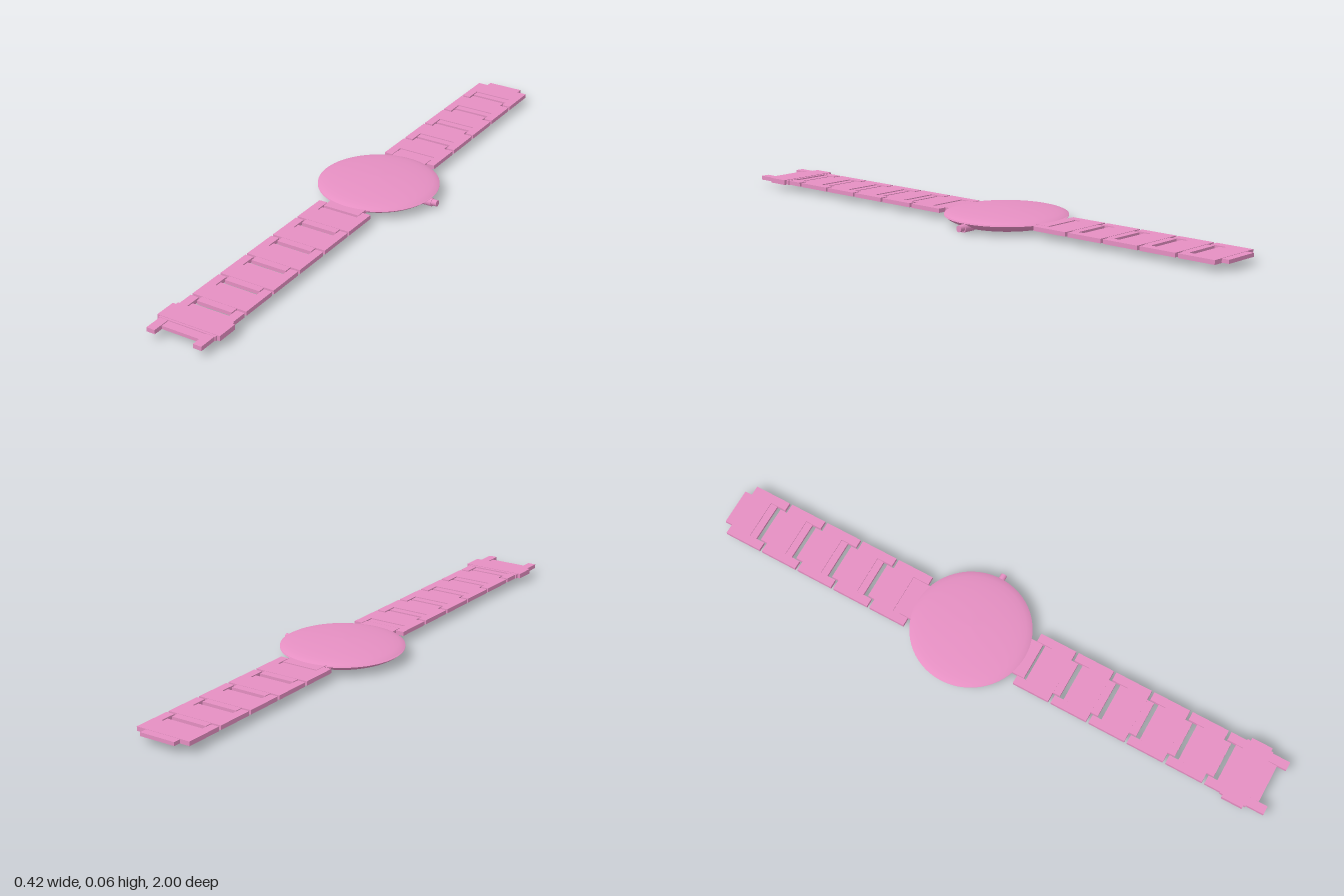
import * as THREE from 'three';

const CX = -0.011; // strap and case centre line
const CZ = -0.1;   // case centre
const PITCH = 0.1372;

const pink = new THREE.MeshStandardMaterial({ color: 0xe58fc2 });
const pinkThin = new THREE.MeshStandardMaterial({ color: 0xe58fc2, side: THREE.DoubleSide });

function add(parent, name, geometry, material = pink) {
  const mesh = new THREE.Mesh(geometry, material);
  mesh.name = name;
  parent.add(mesh);
  return mesh;
}

// Box given by its limits
function block(parent, name, x0, x1, y0, y1, z0, z1) {
  const mesh = add(parent, name, new THREE.BoxGeometry(x1 - x0, y1 - y0, z1 - z0));
  mesh.position.set((x0 + x1) / 2, (y0 + y1) / 2, (z0 + z1) / 2);
  return mesh;
}

function lathe(parent, name, points) {
  return add(parent, name,
    new THREE.LatheGeometry(points.map(([r, y]) => new THREE.Vector2(r, y)), 64), pinkThin);
}

// A link: arms at z = 0 (towards the case), body, then a tongue reaching outward
function makeLink(name, bodyEnd = 0.128, half = 0.096, top = 0.036) {
  const link = new THREE.Group();
  link.name = name;
  block(link, 'linkBody', -half, half, 0.022, top, 0.055, bodyEnd);
  for (const s of [-1, 1]) {
    const arm = block(link, 'linkArm', -0.0145, 0.0145, 0.022, 0.036, 0, 0.056);
    arm.position.x = s * 0.0815;
  }
  block(link, 'linkSlotBar', -0.066, 0.066, 0.023, 0.033, 0.031, 0.056);
  return link;
}

function makeCase() {
  const watchCase = new THREE.Group();
  watchCase.name = 'watchCase';
  watchCase.position.set(CX, 0, CZ);

  // Rounded back shell with a flat dial
  lathe(watchCase, 'caseBack', [
    [0, 0], [0.08, 0.001], [0.13, 0.003], [0.155, 0.008],
    [0.175, 0.016], [0.19, 0.024], [0.2, 0.032]]);
  lathe(watchCase, 'dial', [[0.2, 0.032], [0.198, 0.034], [0.1, 0.034], [0, 0.034]]);

  // Shallow domed glass
  lathe(watchCase, 'glass', [
    [0.2, 0.037], [0.192, 0.041], [0.18, 0.0443], [0.16, 0.0478],
    [0.13, 0.051], [0.095, 0.0537], [0.05, 0.056], [0, 0.057]]);

  // Strap lugs
  for (const s of [-1, 1]) {
    const lug = block(watchCase, 'strapLug', -0.065, 0.065, 0.024, 0.036, -0.025, 0.025);
    lug.position.z = s * 0.206;
  }

  // Winding crown on its stem tube
  const stem = add(watchCase, 'crownStem', new THREE.CylinderGeometry(0.0135, 0.0135, 0.044, 24));
  stem.position.set(0.182, 0.0175, 0);
  const crown = add(watchCase, 'crown', new THREE.CylinderGeometry(0.0105, 0.0105, 0.022, 24));
  crown.position.set(0.211, 0.0185, 0);
  stem.rotation.z = crown.rotation.z = Math.PI / 2;
  return watchCase;
}

function makeStrap(name, count) {
  const strap = new THREE.Group();
  strap.name = name;
  for (let i = 0; i < count; i++) {
    const link = makeLink('link');
    block(link, 'linkTongue', -0.062, 0.062, 0.023, 0.035, 0.127, 0.153);
    link.position.z = i * PITCH;
    strap.add(link);
  }
  return strap;
}

export function createModel() {
  const model = new THREE.Group();
  model.name = 'wristwatch';
  model.add(makeCase());

  // Front strap ends in a wider clasp
  const front = makeStrap('frontStrap', 5);
  front.position.set(CX, 0, 0.108);
  const clasp = makeLink('clasp', 0.145, 0.1, 0.037);
  clasp.position.z = 5 * PITCH;
  block(clasp, 'claspPlate', -0.11, 0.11, 0.0215, 0.0385, 0.066, 0.138);
  block(clasp, 'claspBar', -0.066, 0.066, 0.023, 0.034, 0.144, 0.175);
  for (const s of [-1, 1]) {
    const arm = block(clasp, 'claspArm', -0.0145, 0.0145, 0.022, 0.036, 0.144, 0.206);
    arm.position.x = s * 0.0815;
  }
  front.add(clasp);

  // Back strap runs the other way
  const back = makeStrap('backStrap', 5);
  back.rotation.y = Math.PI;
  back.position.set(CX, 0, -0.298);
  model.add(front, back);
  return model;
}
